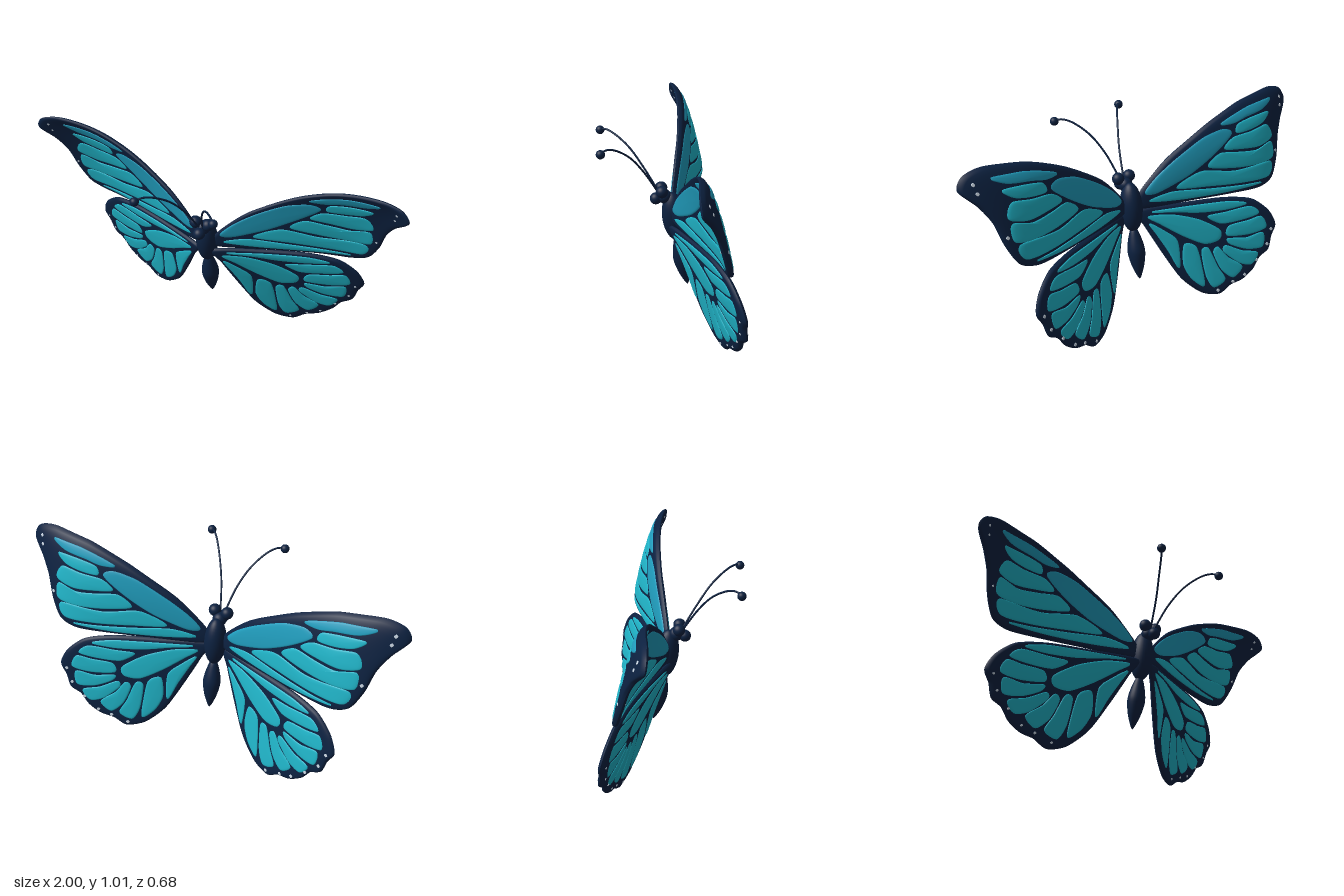
import * as THREE from 'three';

const mat = (name, color) => {
  const m = new THREE.MeshStandardMaterial({ color });
  m.name = name;
  return m;
};

// Height fields that bend and cup each wing backwards from the body
const foreZ = (x, y) => {
  const leadY = 0.57 + x - 0.572 * x * x;
  const leadZ = -0.02 - 0.27 * x + 0.225 * x * x;
  const lowZ = -0.03 - 0.35 * x + 0.22 * x ** 6;
  const t = THREE.MathUtils.clamp((leadY - y) / (leadY - 0.525), 0, 1.05);
  return leadZ + (lowZ - leadZ) * ((t + 0.02) ** 0.6 - 0.05);
};
const hindZ = (x, y) => -0.01 - 0.355 * x - 0.2 * (0.5 - y) - 0.12 * x * (0.76 - x);

// Closed, softly domed plate: rings shrink from an outline to its centre, on both faces
function plate(points, zAt, half, side, { samples = 60, dome = 0, power = 24, grow = 0, centre } = {}) {
  const curve = new THREE.CatmullRomCurve3(
    points.map(([x, y]) => new THREE.Vector3(x, y, 0)), true, 'catmullrom', 0.4);
  const line = curve.getPoints(samples).slice(0, samples);
  if (THREE.ShapeUtils.area(line) < 0) line.reverse();
  const rim = line.map((p, i) => {
    const d = line[(i + 1) % samples].clone().sub(line[(i + samples - 1) % samples]).normalize();
    return new THREE.Vector3(p.x + d.y * grow, p.y - d.x * grow, 0);
  });
  const c = centre ? new THREE.Vector3(...centre, 0)
    : rim.reduce((a, p) => a.add(p), new THREE.Vector3()).divideScalar(samples);
  const rings = [0, 0.12, 0.25, 0.4, 0.52, 0.64, 0.74, 0.83, 0.9, 0.95, 0.98, 1];
  const pos = [], index = [];
  for (const face of [1, -1]) {
    const base = pos.length / 3;
    for (const t of rings) {
      const h = half * Math.sqrt(1 - t ** power) + dome * (1 - t * t);
      for (const p of rim) {
        const x = c.x + (p.x - c.x) * t, y = c.y + (p.y - c.y) * t;
        pos.push(x * side, y, zAt(x, y) + face * h);
      }
    }
    for (let r = 0; r < rings.length - 1; r++) {
      for (let i = 0; i < samples; i++) {
        const j = (i + 1) % samples;
        const a = base + r * samples + i, b = base + r * samples + j;
        const d = a + samples, e = b + samples;
        const tris = r ? [[a, d, e], [a, e, b]] : [[a, d, e]];
        for (const [u, v, w] of tris) index.push(...(face * side > 0 ? [u, v, w] : [u, w, v]));
      }
    }
  }
  const g = new THREE.BufferGeometry();
  g.setAttribute('position', new THREE.Float32BufferAttribute(pos, 3));
  g.setIndex(index);
  g.computeVertexNormals();
  return g;
}

const foreOutline = [[0.03, 0.57], [0.1, 0.66], [0.22, 0.77], [0.44, 0.9], [0.65, 0.98], [0.86, 1.008],
  [0.965, 0.985], [0.998, 0.925], [0.93, 0.85], [0.88, 0.77], [0.845, 0.66], [0.79, 0.565],
  [0.7, 0.532], [0.545, 0.529], [0.33, 0.526], [0.06, 0.52]];
const hindOutline = [[0.04, 0.51], [0.28, 0.52], [0.49, 0.516], [0.64, 0.485], [0.73, 0.41], [0.765, 0.33],
  [0.735, 0.27], [0.71, 0.2], [0.655, 0.165], [0.61, 0.105], [0.545, 0.06], [0.475, 0.04],
  [0.41, 0.002], [0.32, 0.027], [0.225, 0.12], [0.145, 0.27], [0.075, 0.42]];

// Coloured panes between the wing veins
const foreBlue = [
  [[0.07, 0.6], [0.14, 0.68], [0.25, 0.762], [0.4, 0.845], [0.52, 0.875], [0.57, 0.848], [0.45, 0.755], [0.3, 0.665], [0.13, 0.595]],
  [[0.5, 0.893], [0.58, 0.925], [0.7, 0.955], [0.86, 0.965], [0.79, 0.93], [0.66, 0.91], [0.57, 0.89]],
];
const foreTeal = [
  [[0.6, 0.88], [0.7, 0.9], [0.82, 0.905], [0.77, 0.865], [0.68, 0.845], [0.585, 0.84]],
  [[0.56, 0.82], [0.68, 0.832], [0.79, 0.845], [0.82, 0.78], [0.72, 0.75], [0.6, 0.757], [0.5, 0.772]],
  [[0.47, 0.752], [0.58, 0.742], [0.7, 0.732], [0.81, 0.755], [0.81, 0.675], [0.7, 0.66], [0.55, 0.667], [0.4, 0.694]],
  [[0.22, 0.61], [0.36, 0.677], [0.55, 0.65], [0.79, 0.657], [0.77, 0.585], [0.6, 0.582], [0.4, 0.594]],
  [[0.08, 0.56], [0.2, 0.592], [0.4, 0.578], [0.6, 0.566], [0.72, 0.56], [0.5, 0.549], [0.25, 0.547]],
];
const hindTeal = [
  [[0.08, 0.477], [0.2, 0.472], [0.34, 0.425], [0.45, 0.35], [0.44, 0.3], [0.36, 0.29], [0.25, 0.35], [0.14, 0.43]],
  [[0.1, 0.496], [0.3, 0.5], [0.5, 0.495], [0.61, 0.47], [0.5, 0.457], [0.35, 0.462], [0.2, 0.485]],
  [[0.38, 0.434], [0.48, 0.442], [0.62, 0.452], [0.67, 0.41], [0.6, 0.393], [0.5, 0.385], [0.44, 0.39]],
  [[0.49, 0.366], [0.6, 0.378], [0.68, 0.388], [0.7, 0.325], [0.6, 0.305], [0.475, 0.317]],
  [[0.475, 0.3], [0.58, 0.287], [0.68, 0.3], [0.67, 0.225], [0.58, 0.228], [0.49, 0.268]],
  [[0.46, 0.267], [0.55, 0.222], [0.64, 0.195], [0.6, 0.14], [0.53, 0.16], [0.45, 0.235]],
  [[0.42, 0.267], [0.47, 0.2], [0.545, 0.135], [0.49, 0.085], [0.43, 0.14], [0.395, 0.24]],
  [[0.37, 0.27], [0.41, 0.16], [0.445, 0.08], [0.38, 0.048], [0.345, 0.12], [0.335, 0.26]],
  [[0.31, 0.285], [0.33, 0.15], [0.33, 0.062], [0.27, 0.115], [0.235, 0.2], [0.25, 0.31]],
  [[0.09, 0.44], [0.16, 0.39], [0.22, 0.325], [0.215, 0.18], [0.17, 0.28], [0.12, 0.38]],
];
const foreSpots = [[0.935, 0.95], [0.925, 0.91], [0.832, 0.7]];
const hindSpots = [[0.4, 0.03], [0.485, 0.064], [0.553, 0.09], [0.627, 0.158], [0.695, 0.233], [0.725, 0.31]];

export function createModel() {
  const navy = mat('navy', 0x0c2140);
  const teal = mat('teal', 0x20b4c8);
  const blue = mat('blue teal', 0x209cbc);
  const white = mat('pale spots', 0xc8d4e0);
  const root = new THREE.Group();
  root.name = 'butterfly';

  const add = (parent, name, geometry, material) => {
    const m = new THREE.Mesh(geometry, material);
    m.name = name;
    parent.add(m);
    return m;
  };
  const ball = (name, r, x, y, z, sx = 1, sy = 1, sz = 1) => {
    const m = add(root, name, new THREE.SphereGeometry(r, 28, 20), navy);
    m.position.set(x, y, z);
    m.scale.set(sx, sy, sz);
    return m;
  };

  // Wings with panes, and edge spots that are larger on the back
  const wing = (name, side, outline, centre, zAt, paneSets, spots) => {
    const g = new THREE.Group();
    g.name = name;
    root.add(g);
    add(g, 'wingBase', plate(outline, zAt, 0.017, side, { samples: 140, centre }), navy);
    for (const [panes, material] of paneSets)
      for (const p of panes)
        add(g, 'wingPane', plate(p, zAt, 0.0195, side, { dome: 0.003, grow: 0.004 }), material);
    for (const [x, y] of spots) {
      for (const [r, dz] of [[0.007, 0.003], [0.01, -0.003]]) {
        const dot = [[x + r, y], [x, y + r], [x - r, y], [x, y - r]];
        add(g, 'edgeSpot', plate(dot, (u, v) => zAt(u, v) + dz, 0.0155, side, { samples: 10 }), white);
      }
    }
  };

  for (const [label, s] of [['left', 1], ['right', -1]]) {
    wing(label + 'Forewing', s, foreOutline, [0.6, 0.75], foreZ, [[foreBlue, blue], [foreTeal, teal]], foreSpots);
    wing(label + 'Hindwing', s, hindOutline, [0.4, 0.3], hindZ, [[hindTeal, teal]], hindSpots);

    // Antenna with a round club
    const path = new THREE.CatmullRomCurve3([[0.01, 0.67, 0.03], [0.045, 0.8, 0.11], [0.09, 0.89, 0.18],
      [0.145, 0.945, 0.255], [0.18, 0.955, 0.295], [0.203, 0.944, 0.318]]
      .map(([x, y, z]) => new THREE.Vector3(x * s, y, z)));
    add(root, label + 'Antenna', new THREE.TubeGeometry(path, 40, 0.005, 8), navy);
    ball(label + 'AntennaClub', 0.022, 0.203 * s, 0.943, 0.318);
    ball(label + 'Eye', 0.031, 0.034 * s, 0.687, 0.018);
  }

  // Head, thorax and tapered abdomen
  ball('head', 0.036, 0, 0.652, 0.003);
  ball('snout', 0.03, 0, 0.642, 0.047);
  ball('thorax', 0.055, 0, 0.545, -0.045, 1, 2.35, 1.1).rotation.x = 0.12;
  const profile = [[0, -0.135], [0.012, -0.115], [0.032, -0.06], [0.044, 0], [0.043, 0.04], [0.032, 0.09], [0.018, 0.13], [0, 0.15]];
  const smooth = new THREE.SplineCurve(profile.map(([x, y]) => new THREE.Vector2(x, y))).getPoints(28);
  smooth.forEach(p => { p.x = Math.max(p.x, 0); });
  const abdomen = add(root, 'abdomen', new THREE.LatheGeometry(smooth, 28), navy);
  abdomen.position.set(0, 0.298, -0.09);
  abdomen.rotation.x = 0.2;

  return root;
}
